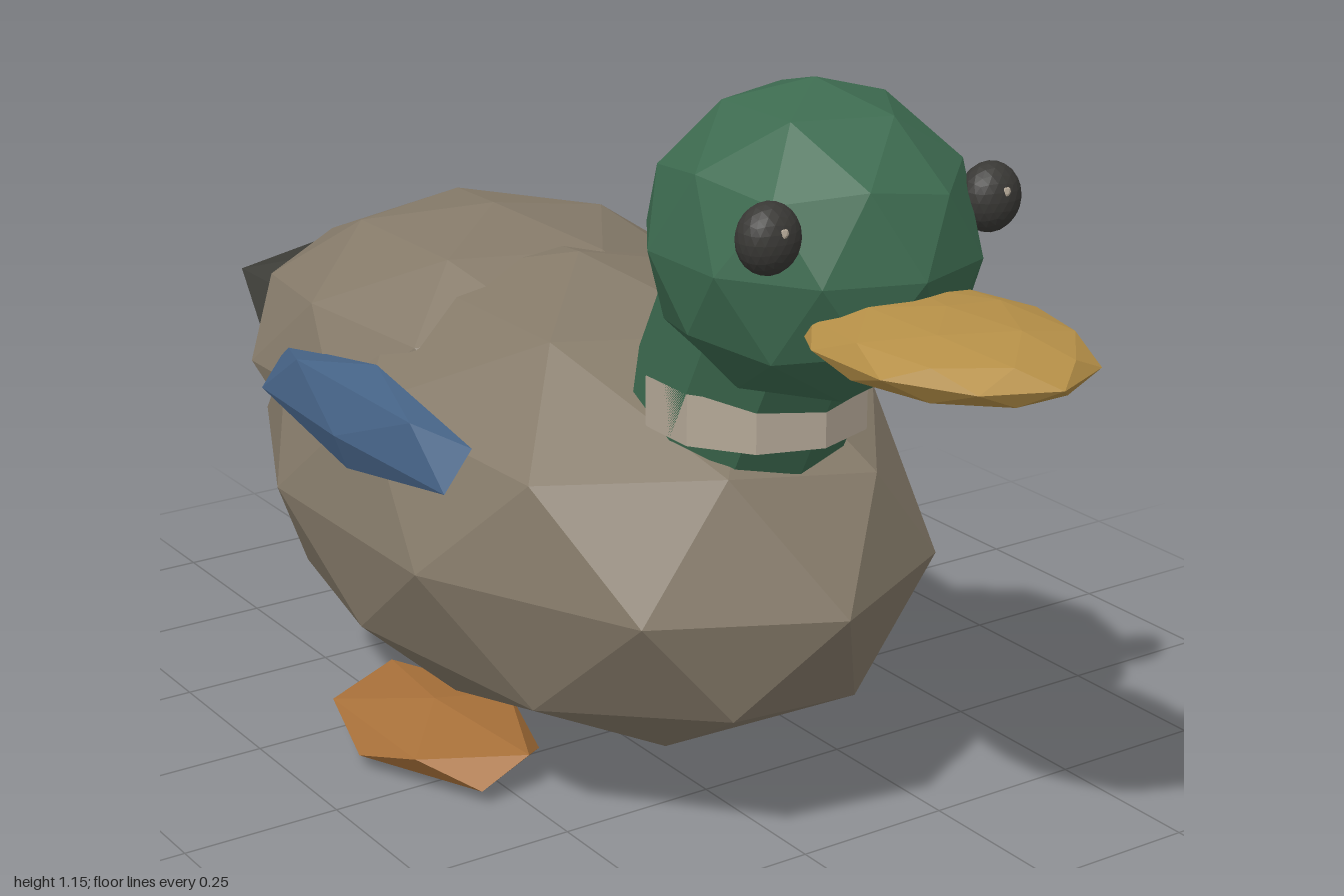
import * as THREE from 'three';

const paint = (name, color) => new THREE.MeshStandardMaterial({ name, color, flatShading: true });

// Icosphere with its poles on the y axis, so facets follow five-fold rings
function icosphere(detail) {
  const verts = [0, -1, 0];
  const faces = [];
  const h = 1 / Math.sqrt(5), r = 2 * h;
  for (const [start, y] of [[Math.PI / 5, -h], [0, h]]) {
    for (let i = 0; i < 5; i++) {
      const a = start + (i * 2 * Math.PI) / 5;
      verts.push(r * Math.cos(a), y, -r * Math.sin(a));
    }
  }
  verts.push(0, 1, 0);
  for (let i = 0; i < 5; i++) {
    const j = (i + 1) % 5;
    const l0 = 1 + i, l1 = 1 + j, u0 = 6 + i, u1 = 6 + j;
    faces.push(11, u0, u1, 0, l1, l0, l0, u1, u0, u1, l0, l1);
  }
  return new THREE.PolyhedronGeometry(verts, faces, 1, detail);
}

export function createModel() {
  const group = new THREE.Group();
  const brown = paint('featherBrown', 0x857a69);
  const green = paint('headGreen', 0x3d6b50);
  const cream = paint('collarCream', 0xb3a796);
  const yellow = paint('beakYellow', 0xb58f47);
  const orange = paint('footOrange', 0xa9713a);
  const blue = paint('wingBlue', 0x456285);
  const dark = paint('tailCharcoal', 0x3d3d38);
  const black = paint('eyeBlack', 0x393835);

  const add = (name, geometry, material, position) => {
    const mesh = new THREE.Mesh(geometry, material);
    mesh.name = name;
    mesh.position.set(...position);
    group.add(mesh);
    return mesh;
  };
  const blob = (name, material, detail, position, radii) =>
    add(name, icosphere(detail).scale(...radii), material, position);

  // Body, folded wings on the back, and tail
  blob('body', brown, 1, [0, 0.4, -0.1], [0.4417, 0.365, 0.69]);
  blob('back', brown, 1, [0, 0.55, -0.35], [0.389, 0.235, 0.44]);
  blob('tail', dark, 0, [0, 0.523, -0.72], [0.25, 0.103, 0.33]);

  // Neck leaning forward, with a level collar ring
  const neck = add('neck', new THREE.CylinderGeometry(0.163, 0.163, 0.3, 10), green, [0, 0.788, 0.393]);
  neck.rotation.x = 0.471;
  add('collar', new THREE.CylinderGeometry(0.163, 0.163, 0.075, 10), cream, [0, 0.673, 0.362]);

  // Head and beak
  blob('head', green, 1, [0, 0.925, 0.482], [0.228, 0.225, 0.248]);
  blob('beak', yellow, 1, [0, 0.855, 0.77], [0.171, 0.05, 0.23]);

  // Paired parts
  for (const [side, s] of [['left', 1], ['right', -1]]) {
    blob(side + 'Eye', black, 3, [s * 0.184, 0.991, 0.632], [0.046, 0.049, 0.038]);
    blob(side + 'EyeGlint', cream, 1, [s * 0.184, 1.003, 0.657], [0.013, 0.013, 0.013]);
    blob(side + 'Foot', orange, 0, [s * 0.27, 0.043, -0.1], [0.151, 0.043, 0.247]);
    const patch = blob(side + 'WingPatch', blue, 0, [s * 0.373, 0.564, -0.12], [0.042, 0.081, 0.33]);
    patch.rotation.z = s * 0.35;
  }
  return group;
}
